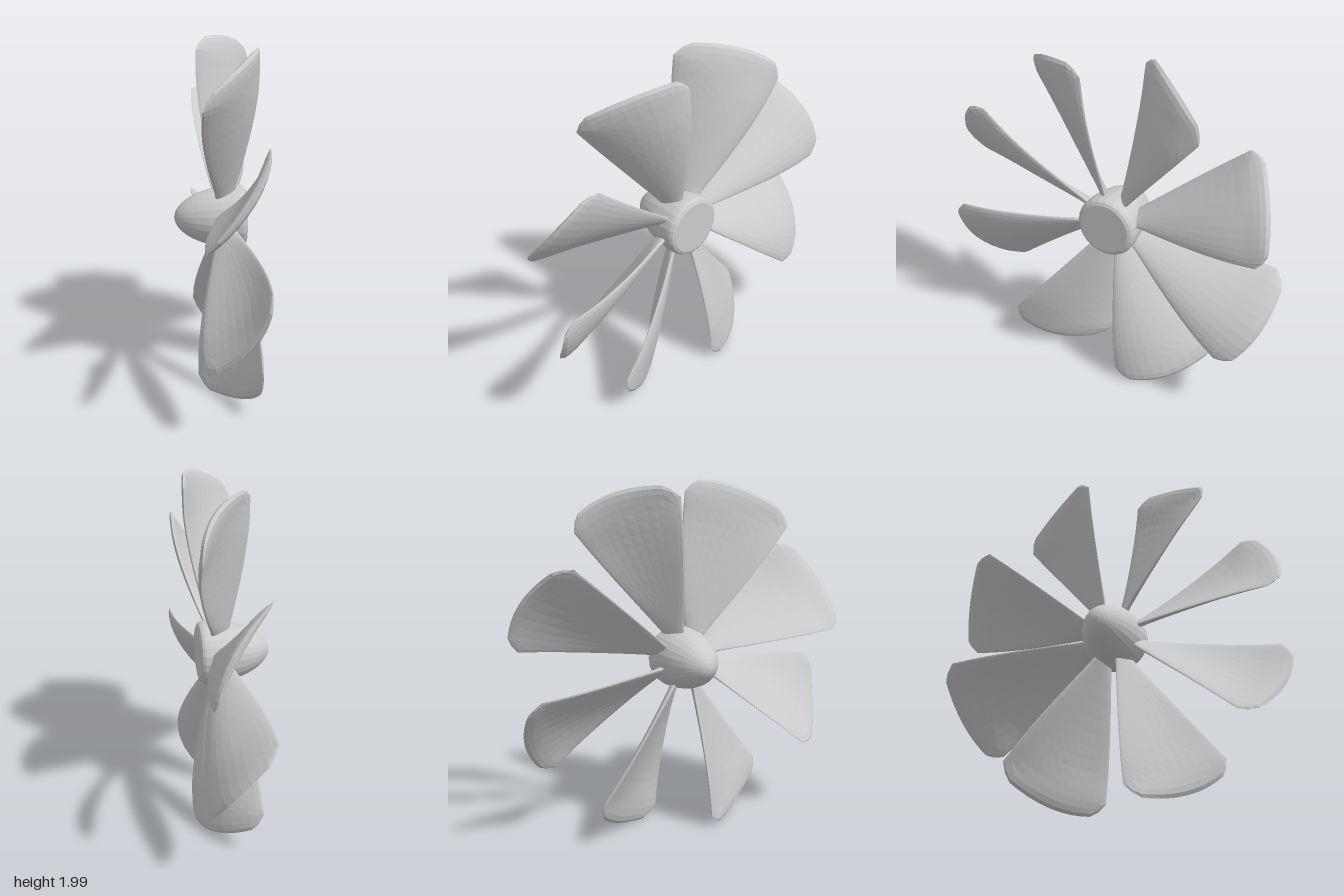
import * as THREE from 'three';

const BLADES = 8, RINGS = 14, AROUND = 28;
const material = new THREE.MeshStandardMaterial({ color: 0xcccccc, flatShading: true, side: THREE.DoubleSide });

// Outer radius of the blade across its chord (s from -1 to 1): a wide arc with cropped corners
function tipRadius(s) {
  const a = Math.abs(s);
  return a < 0.85 ? 1.033 - 0.065 * a * a : 0.986 - (a - 0.85) * 0.55;
}

// One twisted, cambered blade pointing up +y, lofted from lens-shaped sections
function bladeGeometry() {
  const rootRadius = 0.12, pos = [], index = [];
  for (let j = 0; j <= RINGS; j++) {
    const v = 1 - (1 - j / RINGS) ** 1.5; // rings gather near the tip
    const thick = (0.02 + 0.01 * v) * Math.sqrt(Math.max(0, 1 - v ** 20));
    for (let i = 0; i < AROUND; i++) {
      const phi = (i / AROUND) * Math.PI * 2;
      const s = Math.cos(phi);
      const r = rootRadius + v * (tipRadius(s) - rootRadius);
      const halfWidth = Math.min(0.262, 0.04 + (r - 0.18) * 0.308);
      // The chord widens along the axis and the camber grows away from the hub
      const t = THREE.MathUtils.clamp((r - 0.15) / 0.63, 0, 1);
      const e = t * (1.35 - 0.35 * t * t);
      const aft = 0.1 + 0.125 * e, fore = -0.105 * e;
      const mid = (aft + fore) / 2, half = (aft - fore) / 2;
      const len = Math.hypot(half, halfWidth);
      const off = thick * Math.sin(phi);
      pos.push(
        mid - s * half + 0.06 * e * (1 - s * s) + off * halfWidth / len,
        r,
        s * halfWidth + off * half / len
      );
    }
  }
  for (let j = 0; j < RINGS; j++) {
    for (let i = 0; i < AROUND; i++) {
      const k = (i + 1) % AROUND;
      const a = j * AROUND + i, b = j * AROUND + k;
      index.push(a, b, a + AROUND, b, b + AROUND, a + AROUND);
    }
  }
  const g = new THREE.BufferGeometry();
  g.setAttribute('position', new THREE.Float32BufferAttribute(pos, 3));
  g.setIndex(index);
  g.computeVertexNormals();
  return g;
}

// Hub with a rounded nose toward -x and a flat back toward +x
function hubGeometry() {
  const nose = new THREE.SplineCurve([
    [0, -0.235], [0.045, -0.222], [0.095, -0.175], [0.135, -0.105],
    [0.163, -0.02], [0.177, 0.07], [0.18, 0.125]
  ].map(([x, y]) => new THREE.Vector2(x, y))).getPoints(16);
  const back = [[0.177, 0.148], [0.168, 0.163], [0.15, 0.172], [0, 0.172]];
  const profile = nose.concat(back.map(([x, y]) => new THREE.Vector2(x, y)));
  return new THREE.LatheGeometry(profile, 24).rotateZ(-Math.PI / 2);
}

export function createModel() {
  const model = new THREE.Group();
  model.name = 'propeller';

  const hub = new THREE.Mesh(hubGeometry(), material);
  hub.name = 'hub';
  hub.position.y = 1;
  model.add(hub);

  // Blades evenly spaced around the x axis
  const geometry = bladeGeometry();
  for (let n = 0; n < BLADES; n++) {
    const blade = new THREE.Mesh(geometry, material);
    blade.name = `blade${n + 1}`;
    blade.position.y = 1;
    blade.rotation.x = ((n + 0.5) / BLADES) * Math.PI * 2;
    model.add(blade);
  }
  return model;
}
